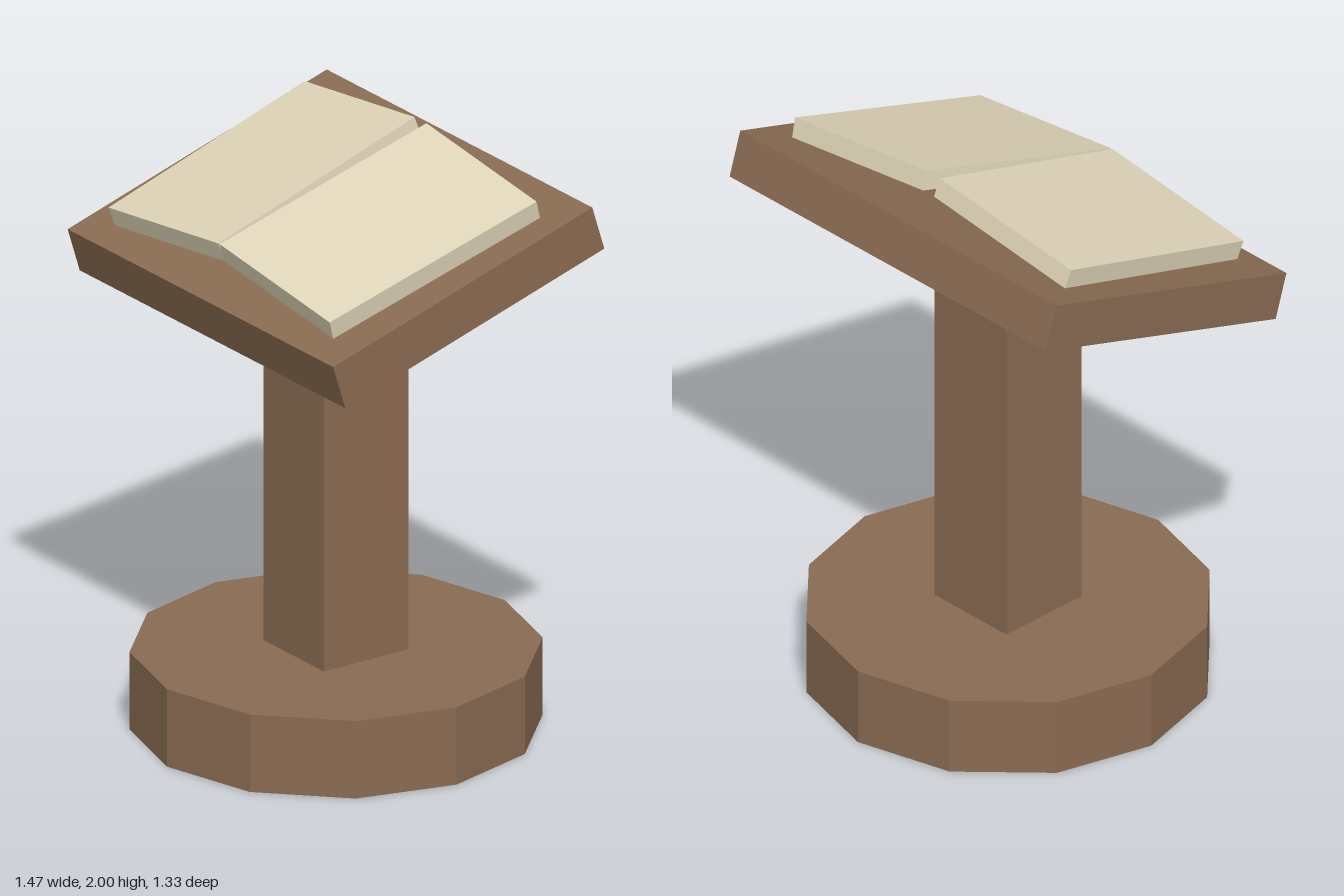
import * as THREE from 'three';

export function createModel() {
  const model = new THREE.Group();
  model.name = 'bookLectern';

  const wood = new THREE.MeshStandardMaterial({ color: 0x8a6b52 });
  wood.name = 'brown wood';
  const paper = new THREE.MeshStandardMaterial({ color: 0xe0d5b9 });
  paper.name = 'cream paper';

  const add = (name, geometry, material, x, y, z) => {
    const mesh = new THREE.Mesh(geometry, material);
    mesh.name = name;
    mesh.position.set(x, y, z);
    model.add(mesh);
    return mesh;
  };

  // Twelve-sided foot with flat facets
  const foot = new THREE.CylinderGeometry(0.665, 0.665, 0.267, 12).toNonIndexed();
  foot.computeVertexNormals();
  add('base', foot, wood, 0, 0.1335, 0);

  // Square post, its flat top running into the sloped board
  add('post', new THREE.BoxGeometry(0.333, 1.333, 0.333), wood, 0, 0.9335, 0);

  // Reading board, sloping down towards the reader
  const slope = 0.3;
  add('board', new THREE.BoxGeometry(1.467, 0.16, 1.067), wood, 0, 1.667, 0).rotation.x = slope;

  // Open book: two page blocks that fall away from the spine
  const pageBlock = new THREE.BoxGeometry(0.612, 0.0667, 0.83);
  for (const [name, side] of [['leftPages', 1], ['rightPages', -1]]) {
    const pages = add(name, pageBlock, paper, side * 0.318, 1.81, 0.054);
    pages.rotation.set(slope, 0, -side * 0.12, 'ZXY');
  }

  return model;
}
